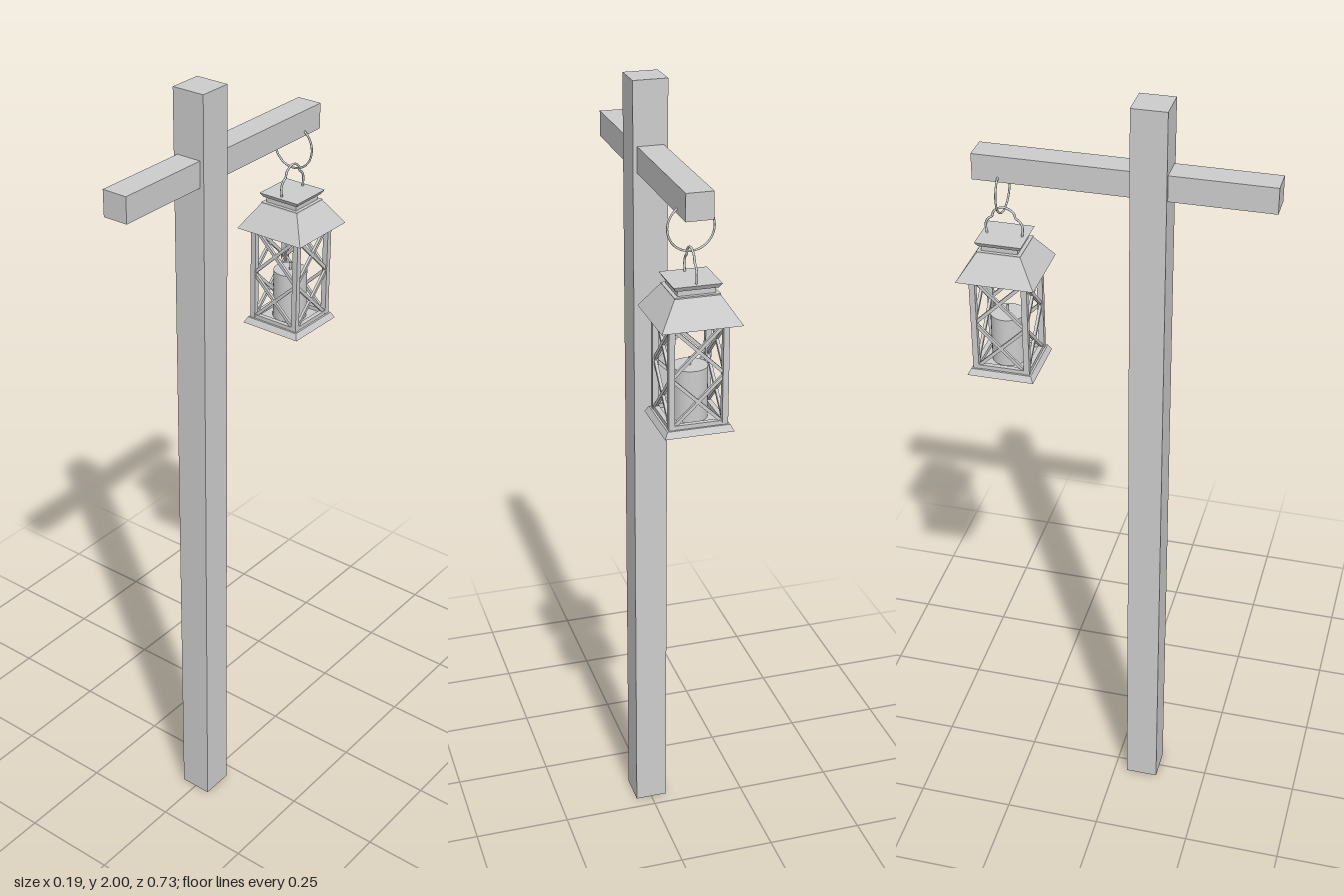
import * as THREE from 'three';

const material = new THREE.MeshStandardMaterial({ color: 0xcccccc, flatShading: true, side: THREE.DoubleSide });
const smooth = new THREE.MeshStandardMaterial({ color: 0xcccccc });

function add(parent, name, geometry, x = 0, y = 0, z = 0, mat = material) {
  const mesh = new THREE.Mesh(geometry, mat);
  mesh.name = name;
  mesh.position.set(x, y, z);
  parent.add(mesh);
  return mesh;
}

// Box between two heights
function block(parent, name, w, y0, y1, d, x = 0, z = 0) {
  return add(parent, name, new THREE.BoxGeometry(w, y1 - y0, d), x, (y0 + y1) / 2, z);
}

// Square tapered section given by its half widths at bottom and top
function taper(parent, name, bottom, top, y0, y1, open = false) {
  const g = new THREE.CylinderGeometry(top * Math.SQRT2, bottom * Math.SQRT2, y1 - y0, 4, 1, open);
  g.rotateY(Math.PI / 4);
  return add(parent, name, g, 0, (y0 + y1) / 2, 0);
}

function createLantern() {
  const lantern = new THREE.Group();
  lantern.name = 'lantern';
  const floor = 1.305, eave = 1.548, half = 0.063;

  // Base, roof, neck and cap
  taper(lantern, 'lanternBase', 0.082, 0.074, 1.29, floor);
  taper(lantern, 'roof', 0.094, 0.053, eave, 1.61, true);
  taper(lantern, 'roofTop', 0.053, 0.053, 1.608, 1.613);
  taper(lantern, 'neck', 0.044, 0.044, 1.613, 1.628);
  taper(lantern, 'cap', 0.049, 0.056, 1.626, 1.637);

  // Four sides, each with a corner post, rails and two crossed braces
  const levels = [floor, (floor + eave) / 2, eave];
  for (let i = 0; i < 4; i++) {
    const side = new THREE.Group();
    side.name = 'lanternSide';
    side.rotation.y = (i * Math.PI) / 2;
    lantern.add(side);
    block(side, 'cornerPost', 0.014, floor, eave, 0.014, half, half);
    block(side, 'topRail', 2 * half, eave - 0.01, eave, 0.012, 0, half);
    block(side, 'bottomRail', 2 * half, floor, floor + 0.01, 0.012, 0, half);
    for (let k = 0; k < 2; k++) {
      const h = levels[k + 1] - levels[k];
      const length = Math.hypot(h, 2 * half) - 0.008;
      for (const s of [-1, 1]) {
        const brace = add(side, 'crossBrace', new THREE.BoxGeometry(length, 0.008, 0.007),
          0, levels[k] + h / 2, half);
        brace.rotation.z = s * Math.atan2(h, 2 * half);
      }
    }
  }

  // Candle and wick
  add(lantern, 'candle', new THREE.CylinderGeometry(0.042, 0.042, 0.125, 24), 0, floor + 0.0625, 0, smooth);
  add(lantern, 'wick', new THREE.CylinderGeometry(0.003, 0.003, 0.02, 8), 0, 1.44, 0, smooth);

  // Curled wire handle
  const arc = [[0.042, 1.634], [0.044, 1.662], [0.036, 1.676], [0.029, 1.68], [0.024, 1.694], [0.012, 1.703]];
  const points = [
    ...arc.map(([z, y]) => new THREE.Vector3(0, y, z)),
    new THREE.Vector3(0, 1.706, 0),
    ...arc.slice().reverse().map(([z, y]) => new THREE.Vector3(0, y, -z)),
  ];
  add(lantern, 'handle', new THREE.TubeGeometry(new THREE.CatmullRomCurve3(points), 60, 0.0028, 8), 0, 0, 0, smooth);

  // Ring hooking the handle to the arm
  add(lantern, 'hangingRing', new THREE.TorusGeometry(0.054, 0.0025, 8, 40), 0, 1.752, 0, smooth);
  return lantern;
}

export function createModel() {
  const model = new THREE.Group();
  model.name = 'lanternPost';
  block(model, 'post', 0.084, 0, 2, 0.084, 0, 0.077);
  block(model, 'crossArm', 0.064, 1.785, 1.848, 0.698, 0, 0.016);
  const lantern = createLantern();
  lantern.position.z = -0.272;
  model.add(lantern);
  return model;
}
